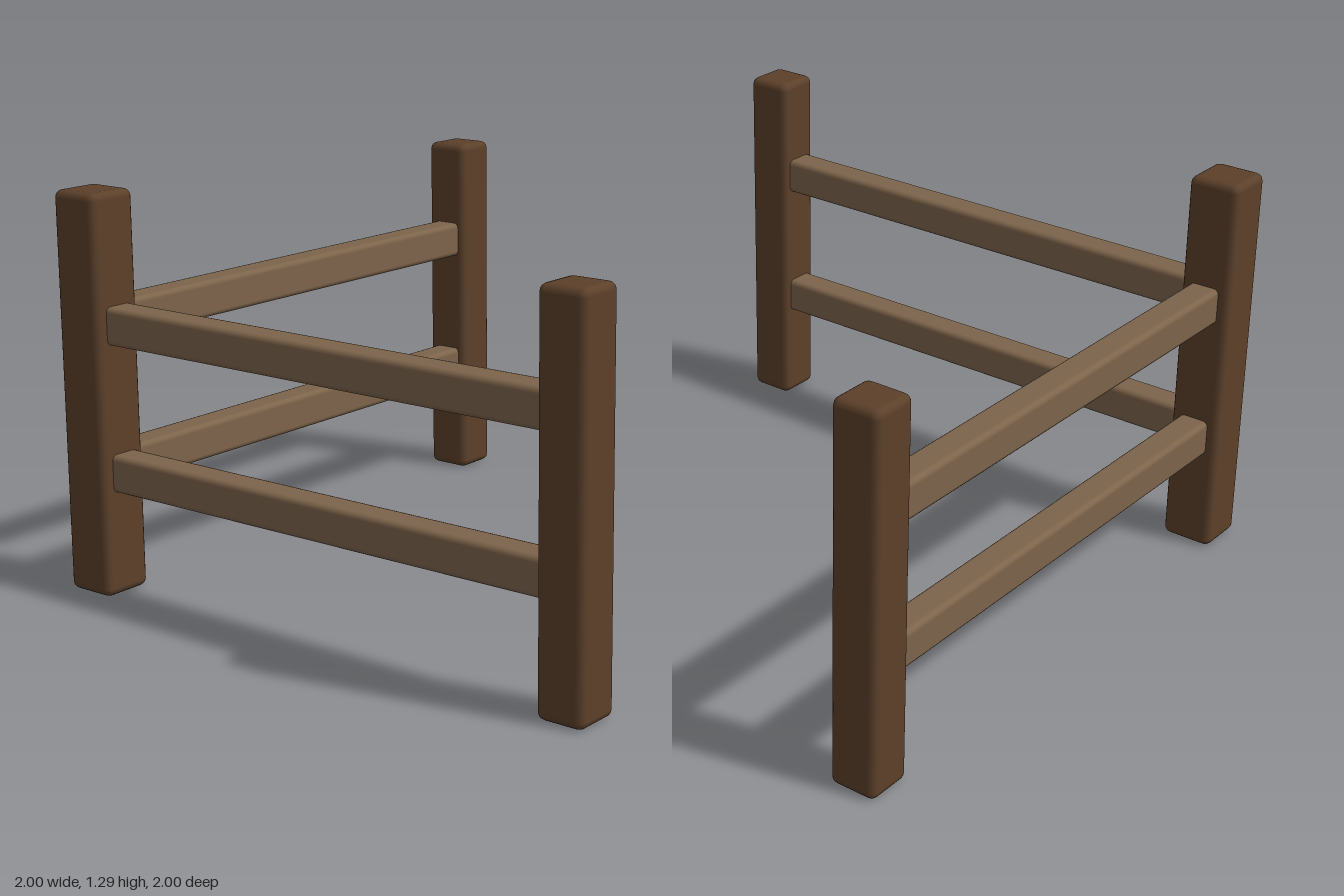
import * as THREE from 'three';
import { RoundedBoxGeometry } from 'three/addons/geometries/RoundedBoxGeometry.js';

const postWood = new THREE.MeshStandardMaterial({ color: 0x5c402a });
const railWood = new THREE.MeshStandardMaterial({ color: 0x7d644b });

// Softly rounded timber, placed by its centre
function timber(name, material, size, radius, position) {
  const mesh = new THREE.Mesh(new RoundedBoxGeometry(...size, 2, radius), material);
  mesh.name = name;
  mesh.position.set(...position);
  return mesh;
}

function post(name, width, height, x, z) {
  return timber(name, postWood, [width, height, width], 0.025, [x, height / 2, z]);
}

export function createModel() {
  const fence = new THREE.Group();
  fence.name = 'cornerFence';

  const corner = 0.91, end = 0.92;
  fence.add(
    post('cornerPost', 0.176, 1.295, -corner, corner),
    post('frontEndPost', 0.16, 1.23, end, corner - 0.005),
    post('backEndPost', 0.16, 1.23, -corner, -end),
  );

  // Two rails on each side, with their ends set into the posts
  const length = 1.76, height = 0.122, depth = 0.105;
  for (const [level, y] of [['lower', 0.402], ['upper', 0.877]]) {
    fence.add(
      timber(level + 'FrontRail', railWood, [length, height, depth], 0.018, [0, y, 0.905]),
      timber(level + 'SideRail', railWood, [depth, height, length], 0.018, [-0.907, y, 0]),
    );
  }
  return fence;
}
